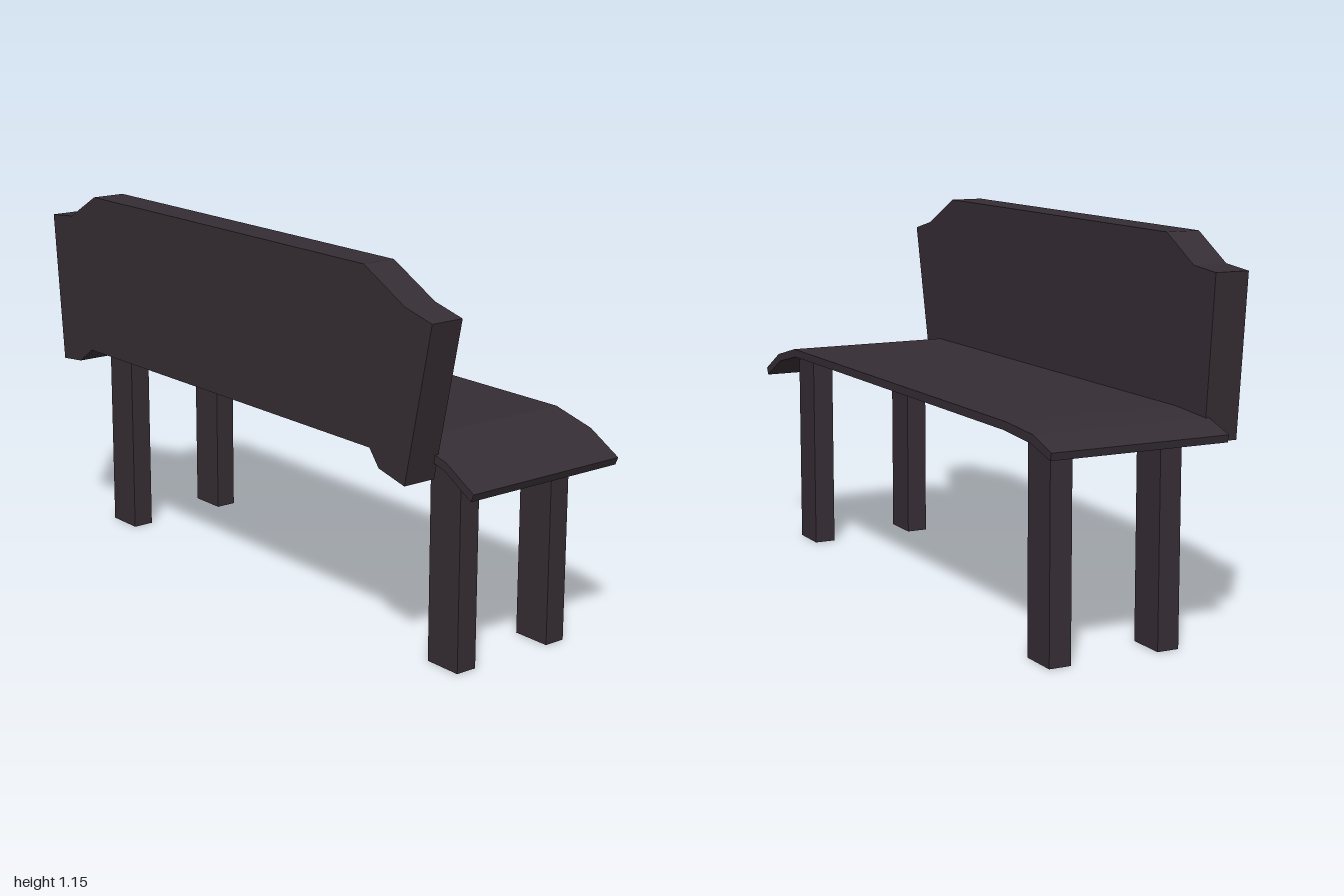
import * as THREE from 'three';

const wood = new THREE.MeshStandardMaterial({ color: 0x352d34, flatShading: true });
wood.name = 'darkWood';

// Extrude a [z, y] outline across the width from x0 to x1
function slab(name, outline, x0, x1) {
  const shape = new THREE.Shape(outline.map(([z, y]) => new THREE.Vector2(-z, y)));
  const geo = new THREE.ExtrudeGeometry(shape, { depth: x1 - x0, bevelEnabled: false });
  geo.rotateY(Math.PI / 2);
  geo.translate(x0, 0, 0);
  const mesh = new THREE.Mesh(geo, wood);
  mesh.name = name;
  return mesh;
}

export function createModel() {
  const bench = new THREE.Group();
  bench.name = 'bench';

  // Seat plank with drooping ends, uneven from one end to the other
  bench.add(slab('seat', [
    [1.0, 0.573], [0.89, 0.635], [0.75, 0.67], [-0.75, 0.67], [-0.9, 0.66], [-1.0, 0.628],
    [-0.995, 0.606], [-0.89, 0.634], [-0.74, 0.645], [0.74, 0.645], [0.88, 0.612], [0.99, 0.55],
  ], -0.23, 0.323));

  // Backrest with stepped shoulders and small feet at each end
  bench.add(slab('backrest', [
    [0.93, 1.04], [0.82, 1.067], [0.65, 1.155], [-0.69, 1.155], [-0.83, 1.075], [-0.94, 1.065],
    [-0.897, 0.588], [-0.8, 0.598], [-0.73, 0.647], [0.68, 0.647], [0.72, 0.597], [0.828, 0.572],
  ], -0.325, -0.218));

  // Four square legs
  for (const [side, x] of [['back', -0.127], ['front', 0.22]]) {
    for (const [end, z] of [['Near', 0.813], ['Far', -0.81]]) {
      const leg = new THREE.Mesh(new THREE.BoxGeometry(0.068, 0.635, 0.124), wood);
      leg.position.set(x, 0.3175, z);
      leg.name = side + 'Leg' + end;
      bench.add(leg);
    }
  }
  return bench;
}
